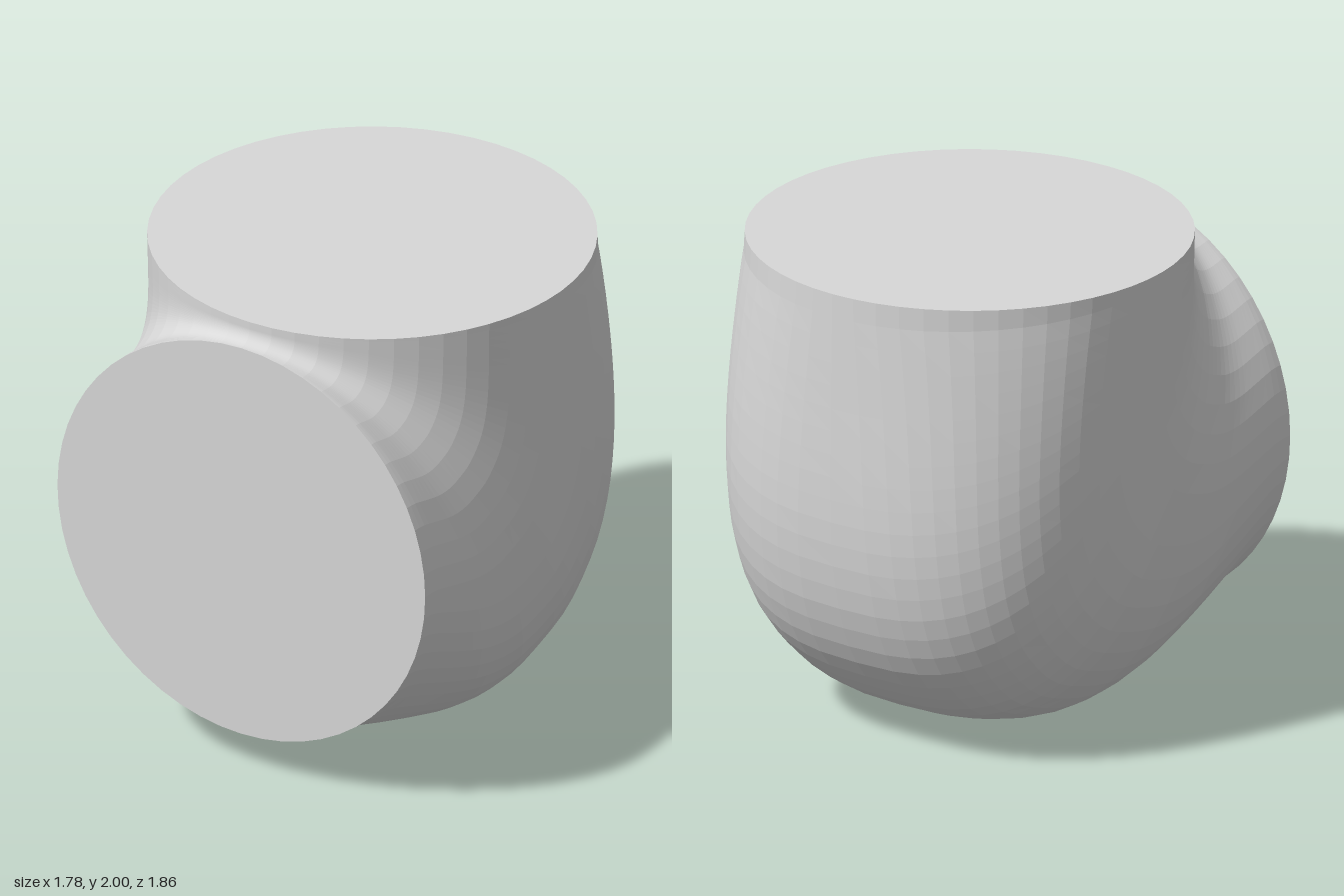
import * as THREE from 'three';

const SECTIONS = 36;
const SIDES = 56;

// Outer bend, from the back of the top rim, under the belly, to the front rim
const outer = new THREE.CatmullRomCurve3([
  [2, -0.912], [1.6, -0.92], [1.2, -0.926], [0.98, -0.92], [0.78, -0.897], [0.6, -0.855],
  [0.42, -0.775], [0.28, -0.665], [0.14, -0.5], [0.055, -0.29], [0.012, -0.13], [0, 0],
  [0.006, 0.12], [0.03, 0.26], [0.095, 0.5], [0.162, 0.74], [0.175, 0.83], [0.178, 0.93],
].map(([y, z]) => new THREE.Vector3(0, y, z)), false, 'centripetal');

// Inner crotch: a short straight neck and then a tight concave fillet
function innerPoint(angle) {
  const a = THREE.MathUtils.clamp(angle / (Math.PI / 2), 0, 1);
  if (a < 0.1) return new THREE.Vector3(0, 2 - 0.3 * a, 0.87);
  const f = (a - 0.1) / 0.9 * Math.PI / 2;
  return new THREE.Vector3(0, 1.97 - 0.06 * Math.sin(f), 0.93 - 0.06 * Math.cos(f));
}

// One ring: rounded on the inside of the bend, slightly squarer on the outside
function ring(t) {
  const o = outer.getPointAt(t);
  let angle = Math.atan2(1.93 - o.y, 0.88 - o.z);
  if (t === 0) angle = 0;
  if (t === 1) angle = Math.PI / 2;
  const i = innerPoint(angle);
  const centre = o.clone().add(i).multiplyScalar(0.5);
  const half = o.clone().sub(i).multiplyScalar(0.5);
  const width = THREE.MathUtils.lerp(0.892, 0.868, t);
  const power = 2 + 0.78 * Math.max(0, Math.sin(2 * angle));
  const points = [];
  for (let j = 0; j < SIDES; j++) {
    const v = j / SIDES * Math.PI * 2;
    const c = Math.cos(v), s = Math.sin(v);
    const e = c > 0 ? 2 / power : 1;
    const p = centre.clone().addScaledVector(half, Math.sign(c) * Math.abs(c) ** e);
    p.x = width * Math.sign(s) * Math.abs(s) ** e;
    points.push(p);
  }
  return points;
}

function meshFrom(name, triangles, material) {
  const geometry = new THREE.BufferGeometry().setFromPoints(triangles);
  geometry.computeVertexNormals();
  const mesh = new THREE.Mesh(geometry, material);
  mesh.name = name;
  return mesh;
}

// Flat disc closing one end of the pipe
function cap(points, flip) {
  const centre = points[0].clone().add(points[SIDES / 2]).multiplyScalar(0.5);
  const triangles = [];
  points.forEach((p, j) => {
    const q = points[(j + 1) % SIDES];
    triangles.push(centre, ...(flip ? [q, p] : [p, q]));
  });
  return triangles;
}

export function createModel() {
  const model = new THREE.Group();
  model.name = 'pipeElbow';
  const grey = new THREE.MeshStandardMaterial({ color: 0xd8d8d8, flatShading: true });
  grey.name = 'lightGrey';

  // Swept elbow wall
  const rings = Array.from({ length: SECTIONS + 1 }, (_, i) => ring(i / SECTIONS));
  const wall = [];
  for (let i = 0; i < SECTIONS; i++) {
    for (let j = 0; j < SIDES; j++) {
      const k = (j + 1) % SIDES;
      const a = rings[i][j], b = rings[i][k], c = rings[i + 1][k], d = rings[i + 1][j];
      wall.push(a, b, d, b, c, d);
    }
  }
  model.add(meshFrom('elbowWall', wall, grey));

  // End discs
  model.add(meshFrom('topCap', cap(rings[0], true), grey));
  model.add(meshFrom('frontCap', cap(rings[SECTIONS], false), grey));
  return model;
}
